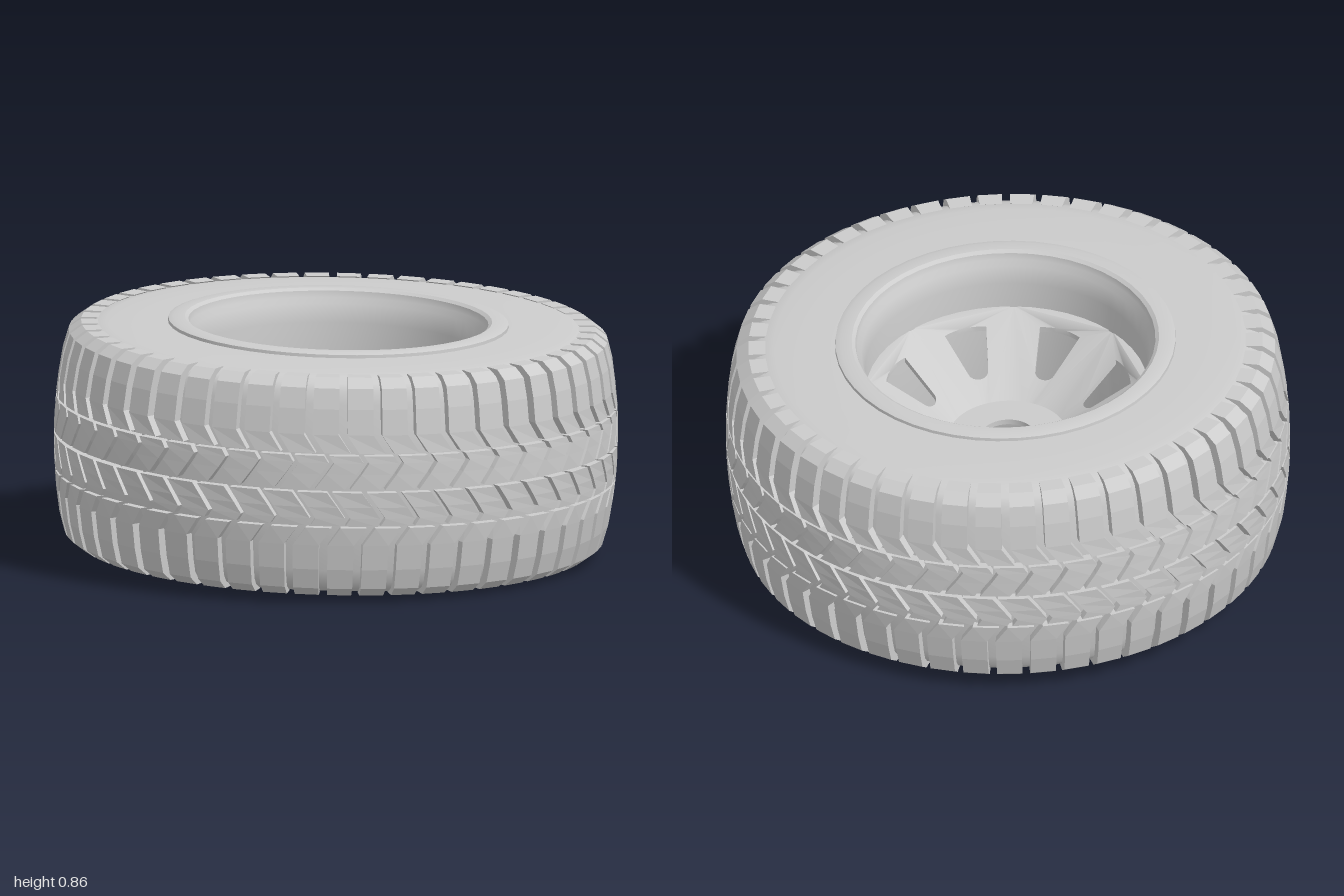
import * as THREE from 'three';
import { mergeGeometries, toCreasedNormals } from 'three/addons/utils/BufferGeometryUtils.js';

const PITCHES = 50;
const STEP = (Math.PI * 2) / PITCHES;
const TILT = -0.025;

const grey = (opts = {}) => new THREE.MeshStandardMaterial({ color: 0xcccccc, ...opts });

function part(name, geometry, material) {
  const mesh = new THREE.Mesh(geometry, material);
  mesh.name = name;
  return mesh;
}

const lathe = (points, segments) =>
  new THREE.LatheGeometry(points.map(([r, h]) => new THREE.Vector2(r, h)), segments);

// Mirrors a half profile (listed from the top down) into a full one
const mirrored = (half) => [...half, ...half.slice().reverse().map(([r, h]) => [r, -h])];

// Radius of the crowned tread surface at height h
const crown = (h) => 1 - 0.3 * h * h;

// One tread block: a four-sided section swept through stations [h, angle, radius]
function block(stations, halfWidth, depth) {
  const rings = stations.map(([h, angle, r = crown(h)]) =>
    [[r, -1], [r, 1], [r - depth, 1], [r - depth, -1]].map(([radius, side]) => {
      const a = angle + side * halfWidth;
      return [radius * Math.sin(a), h, radius * Math.cos(a)];
    }));
  const out = [];
  const quad = (a, b, c, d) => out.push(...a, ...b, ...c, ...a, ...c, ...d);
  for (let i = 0; i < rings.length - 1; i++) {
    for (let k = 0; k < 4; k++) {
      const n = (k + 1) % 4;
      quad(rings[i][k], rings[i + 1][k], rings[i + 1][n], rings[i][n]);
    }
  }
  quad(...rings[0]);
  quad(...rings[rings.length - 1].slice().reverse());
  const g = new THREE.BufferGeometry();
  g.setAttribute('position', new THREE.Float32BufferAttribute(out, 3));
  g.computeVertexNormals();
  return g;
}

// Repeats a block around the tyre
function ringOf(geometry, offset) {
  const copies = [];
  for (let i = 0; i < PITCHES; i++) copies.push(geometry.clone().rotateY(i * STEP + offset));
  return mergeGeometries(copies);
}

// Dished wheel face: eight sectors, each with a tapered window, bent into a cone
function spokeGeometry() {
  const half = Math.PI / 8;
  const inner = 0.21, outer = 0.505;
  const shape = new THREE.Shape();
  shape.absarc(0, 0, outer, -half, half, false);
  shape.absarc(0, 0, inner, half, -half, true);
  shape.closePath();
  const hole = new THREE.Path();
  hole.moveTo(0.31, -0.038);
  hole.lineTo(0.437, -0.078);
  hole.quadraticCurveTo(0.463, 0, 0.437, 0.078);
  hole.lineTo(0.31, 0.038);
  hole.bezierCurveTo(0.278, 0.034, 0.278, -0.034, 0.31, -0.038);
  shape.holes.push(hole);

  const sector = new THREE.ExtrudeGeometry(shape, { depth: 0.02, bevelEnabled: false, curveSegments: 8 });
  sector.rotateX(-Math.PI / 2);
  const p = sector.attributes.position;
  for (let i = 0; i < p.count; i++) {
    const r = Math.hypot(p.getX(i), p.getZ(i));
    p.setY(i, p.getY(i) - 0.025 + 0.69 * (r - inner));
  }
  const sectors = [];
  for (let i = 0; i < 8; i++) sectors.push(sector.clone().rotateY((i * Math.PI) / 4));
  return toCreasedNormals(mergeGeometries(sectors), 0.6);
}

export function createModel() {
  const model = new THREE.Group();
  model.name = 'wheel';

  // Tyre carcass: flat sidewalls, round shoulders and the groove floor
  const carcass = mirrored([
    [0.58, 0.4], [0.7, 0.4], [0.82, 0.395], [0.87, 0.387], [0.905, 0.37],
    [0.925, 0.345], [0.938, 0.3], [0.955, 0.2], [0.966, 0.1],
  ]).reverse();
  model.add(part('tyreCarcass', lathe(carcass, 100), grey()));

  // Tread: shoulder blocks and centre chevrons, the lower half shifted by half a pitch
  const shoulder = [
    [0.394, 0, 0.912], [0.362, 0, 0.955], [0.29, 0], [0.2, 0], [0.135, 0.045],
  ];
  const chevron = [[0.126, 0.05], [0.1, 0.067], [0.06, 0.04], [0.006, 0]];
  const flip = (stations) => stations.map(([h, a, r]) => [-h, a, r]).reverse();
  const tread = new THREE.Group();
  tread.name = 'tread';
  tread.add(
    part('upperShoulderBlocks', ringOf(block(shoulder, 0.047, 0.06), 0), grey()),
    part('upperChevronBlocks', ringOf(block(chevron, 0.053, 0.06), STEP * 0.15), grey()),
    part('lowerChevronBlocks', ringOf(block(flip(chevron), 0.053, 0.06), STEP * 0.65), grey()),
    part('lowerShoulderBlocks', ringOf(block(flip(shoulder), 0.047, 0.06), STEP * 0.5), grey()),
  );
  model.add(tread);

  // Rim: raised lips joined by a deep open barrel
  const rim = mirrored([
    [0.605, 0.395], [0.603, 0.411], [0.585, 0.417], [0.545, 0.417], [0.532, 0.408],
    [0.527, 0.385], [0.512, 0.365], [0.5, 0.3],
  ]);
  model.add(part('rim', toCreasedNormals(lathe(rim, 48), 0.5), grey({ side: THREE.DoubleSide })));

  // Wheel face and hub plate
  model.add(part('spokes', spokeGeometry(), grey()));
  const hub = [[0.095, -0.025], [0.213, -0.025], [0.213, -0.005], [0.095, -0.005], [0.095, -0.025]];
  model.add(part('hubPlate', toCreasedNormals(lathe(hub, 48), 0.5), grey()));

  // The wheel lies on its side with a slight lean
  model.rotation.z = TILT;
  model.position.y = 0.433;
  const root = new THREE.Group();
  root.name = 'wheelModel';
  root.add(model);
  return root;
}
